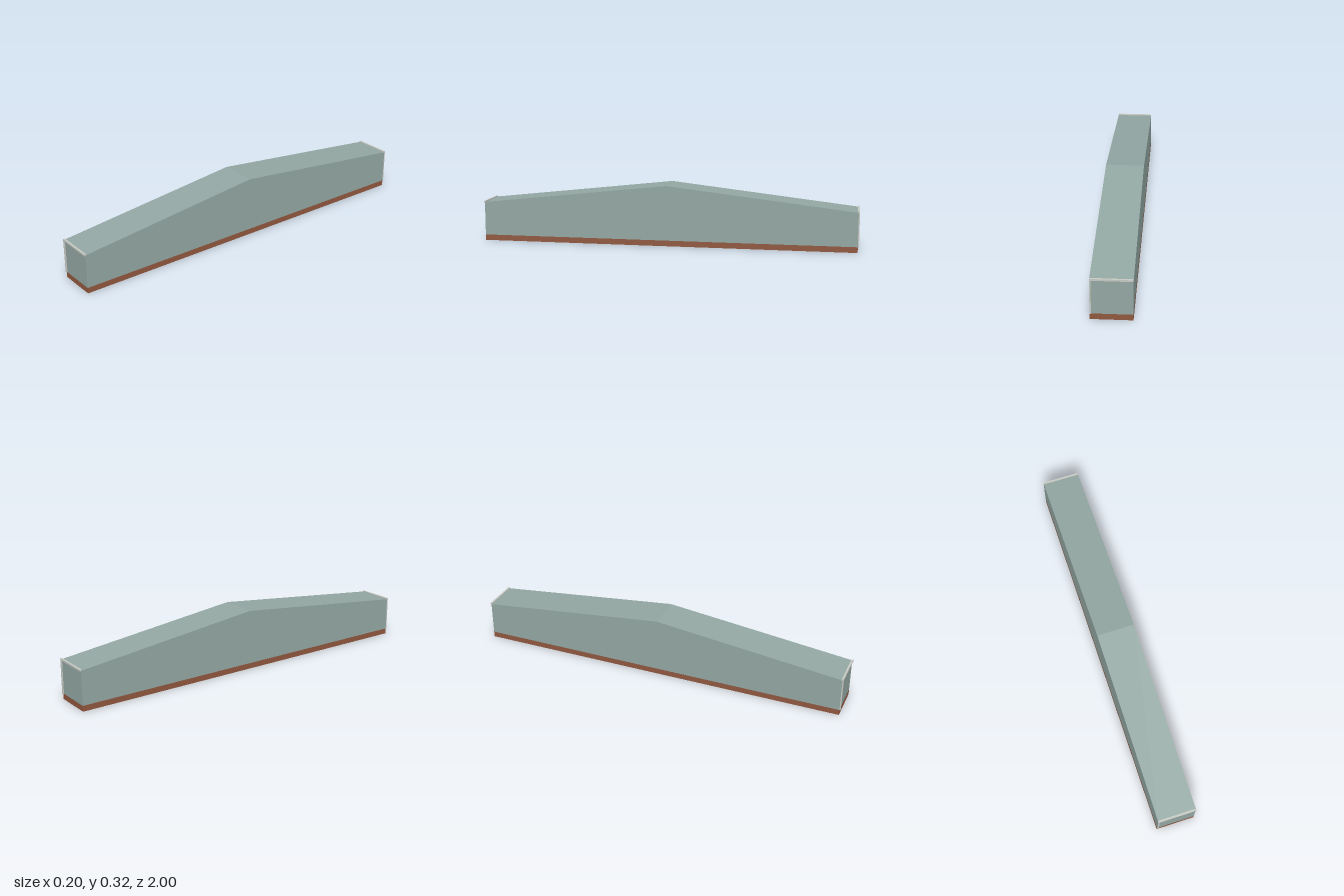
import * as THREE from 'three';

export function createModel() {
  const model = new THREE.Group();
  const paint = (name, color) => {
    const m = new THREE.MeshStandardMaterial({ color });
    m.name = name;
    return m;
  };
  const cladding = paint('grey green cladding', 0x92a6a2);
  const brick = paint('brick brown', 0x8f573e);
  const trim = paint('pale grey trim', 0xc6c8c2);

  const W = 0.2, END = 0.994, BASE = 0.03, EAVES = 0.208, RIDGE = 0.32;

  const box = (name, material, size, pos, parent) => {
    const mesh = new THREE.Mesh(new THREE.BoxGeometry(...size), material);
    mesh.name = name;
    mesh.position.set(...pos);
    parent.add(mesh);
  };

  // Low plinth under the whole hall
  box('plinth', brick, [W, BASE, END * 2], [0, BASE / 2, 0], model);

  // Walls and pitched roof: gable profile extruded across the width
  const gable = new THREE.Shape([
    new THREE.Vector2(-END, BASE),
    new THREE.Vector2(END, BASE),
    new THREE.Vector2(END, EAVES),
    new THREE.Vector2(0, RIDGE),
    new THREE.Vector2(-END, EAVES),
  ]);
  const hallGeometry = new THREE.ExtrudeGeometry(gable, { depth: W, bevelEnabled: false });
  hallGeometry.translate(0, 0, -W / 2).rotateY(Math.PI / 2);
  const hall = new THREE.Mesh(hallGeometry, cladding);
  hall.name = 'hallWallsAndRoof';
  model.add(hall);

  // Gutter and downpipe on each end, the back being the front turned half round
  for (const [name, turn] of [['frontDrainage', 0], ['backDrainage', Math.PI]]) {
    const drainage = new THREE.Group();
    drainage.name = name;
    drainage.rotation.y = turn;
    box('gutter', trim, [W, 0.009, 0.01], [0, 0.2095, 0.995], drainage);
    box('downpipe', trim, [0.007, 0.175, 0.006], [-W / 2 + 0.0035, BASE + 0.0875, 0.997], drainage);
    model.add(drainage);
  }

  return model;
}
